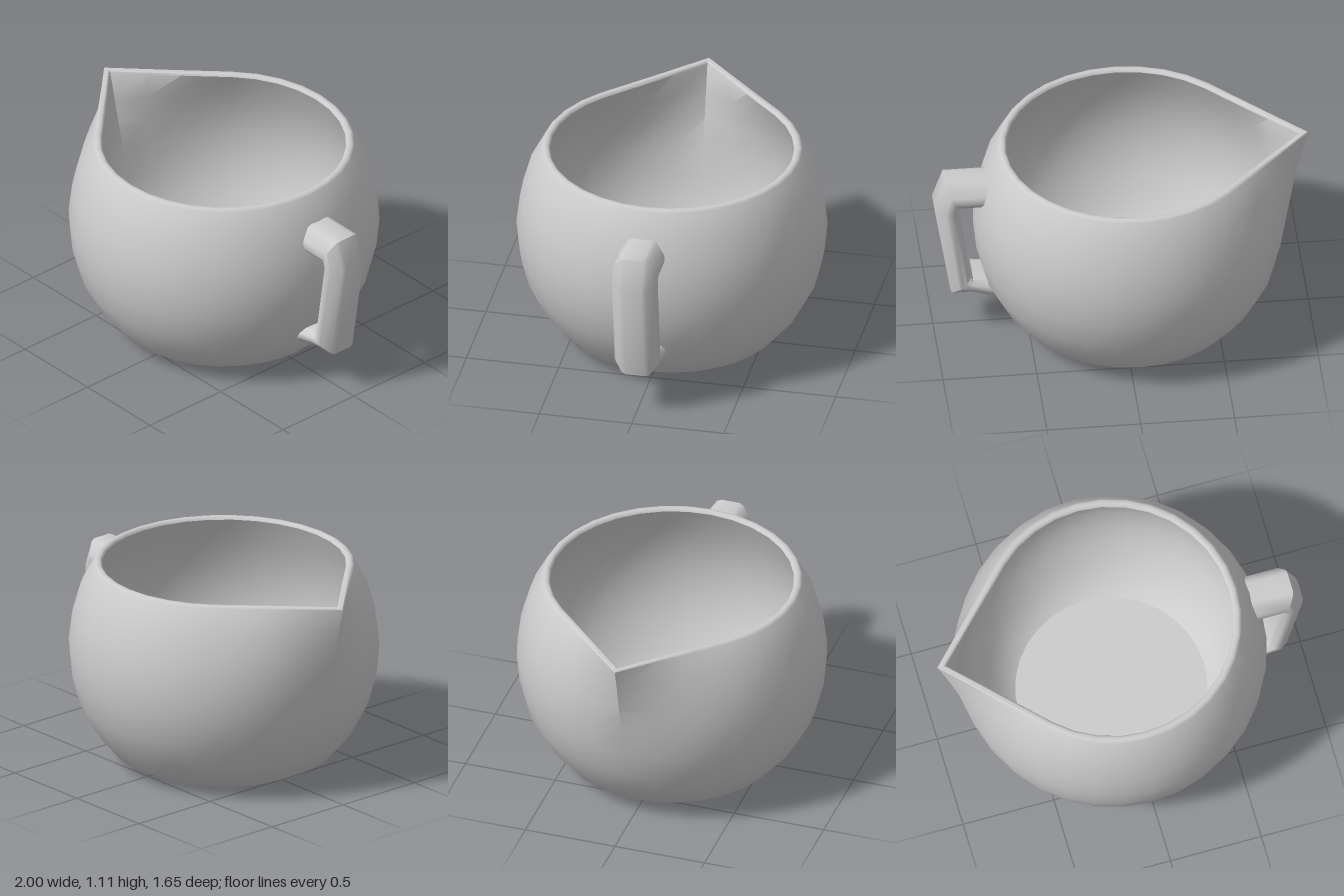
import * as THREE from 'three';
import { toCreasedNormals } from 'three/addons/utils/BufferGeometryUtils.js';

const material = new THREE.MeshStandardMaterial({ color: 0xcccccc });

// Skin a list of closed rings (each an array of [x, y, z])
function loft(rings, crease) {
  const n = rings[0].length;
  const index = [];
  for (let i = 0; i < rings.length - 1; i++) {
    for (let j = 0; j < n; j++) {
      const k = (j + 1) % n;
      const a = i * n + j, b = i * n + k, c = a + n, d = b + n;
      index.push(a, c, b, b, c, d);
    }
  }
  const geometry = new THREE.BufferGeometry();
  geometry.setAttribute('position', new THREE.Float32BufferAttribute(rings.flat(2), 3));
  geometry.setIndex(index);
  return toCreasedNormals(geometry, crease);
}

// Teardrop ring: a circle of radius r drawn out to a tip at distance t on -x,
// fading along the tangent lines over the spread angle
function teardrop([r, y, t = r], segments = 32) {
  const spread = 0.773;
  return Array.from({ length: segments }, (_, j) => {
    const a = (j / segments) * Math.PI * 2;
    const fromTip = Math.min(Math.abs(a - Math.PI), spread);
    const pull = (1 / Math.cos(spread - fromTip) - 1) / (1 / Math.cos(spread) - 1);
    const radius = r + (t - r) * pull;
    return [-0.04 + radius * Math.cos(a), y, radius * Math.sin(a)];
  });
}

// Cut every corner of a closed 2D outline
function bevel(outline, amount) {
  const mix = (p, q) => p.map((v, i) => v + (q[i] - v) * amount);
  const n = outline.length;
  return outline.flatMap((p, i) => [mix(p, outline[(i + n - 1) % n]), mix(p, outline[(i + 1) % n])]);
}

export function createModel() {
  const group = new THREE.Group();

  // Bowl: hollowed base, outer wall, rim, inner wall, floor as [radius, height, spout reach]
  const profile = [
    [0, 0.06], [0.16, 0.053], [0.32, 0.031], [0.46, 0],
    [0.59, 0.065], [0.69, 0.185], [0.77, 0.335], [0.81, 0.49, 0.813],
    [0.825, 0.65, 0.85], [0.805, 0.81, 0.888], [0.76, 0.97, 0.925],
    [0.692, 1.098, 0.958], [0.686, 1.105, 0.96], [0.677, 1.11, 0.955],
    [0.66, 1.11, 0.925], [0.652, 1.105, 0.915], [0.647, 1.095, 0.91],
    [0.715, 0.95, 0.875], [0.76, 0.8, 0.84], [0.78, 0.65, 0.8], [0.765, 0.5, 0.767], [0.725, 0.36],
    [0.65, 0.22], [0.57, 0.11], [0.51, 0.07], [0, 0.07],
  ];
  const bowl = new THREE.Mesh(loft(profile.map((p) => teardrop(p)), 0.57), material);
  bowl.name = 'bowlWithSpout';
  group.add(bowl);

  // Handle: chamfered section [z, depth from outer to inner side] swept through stations
  const section = bevel([
    [0.068, 0], [-0.068, 0], [-0.122, 0.5], [-0.122, 0.75],
    [-0.09, 1], [0.09, 1], [0.122, 0.75], [0.122, 0.5],
  ], 0.12);
  // Stations as outer x, y and inner x, y
  const stations = [
    [0.71, 0.967, 0.71, 0.815],
    [0.945, 0.967, 0.87, 0.815],
    [1.0, 0.81, 0.87, 0.8],
    [0.91, 0.245, 0.805, 0.36],
    [0.8, 0.245, 0.795, 0.345],
    [0.63, 0.19, 0.69, 0.333],
  ];
  const rings = stations.map(([ox, oy, ix, iy]) =>
    section.map(([z, d]) => [ox + (ix - ox) * d, oy + (iy - oy) * d, z]));
  const handle = new THREE.Mesh(loft(rings, 0.7), material);
  handle.name = 'handle';
  group.add(handle);

  return group;
}
